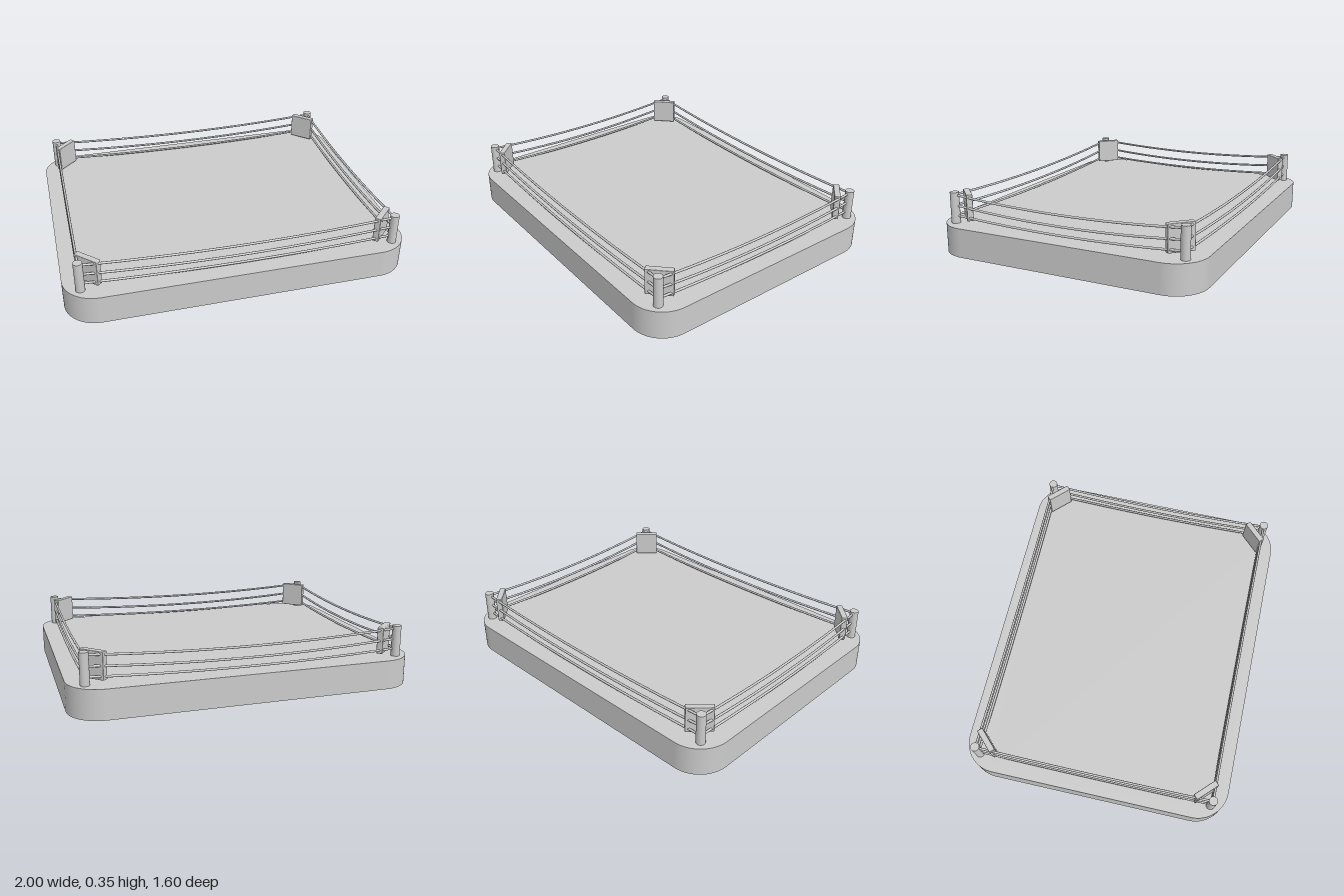
import * as THREE from 'three';
import { RoundedBoxGeometry } from 'three/addons/geometries/RoundedBoxGeometry.js';

const grey = new THREE.MeshStandardMaterial({ color: 0xcccccc });
const thin = new THREE.MeshStandardMaterial({ color: 0xcccccc, side: THREE.DoubleSide });

const DECK = 0.17;                 // height of the platform
const POST_X = 0.905, POST_Z = 0.707;

function add(parent, name, geometry, material = grey) {
  const mesh = new THREE.Mesh(geometry, material);
  mesh.name = name;
  parent.add(mesh);
  return mesh;
}

// Rounded rectangle, counter-clockwise, starting in the middle of the front edge
function platformOutline(hx, hz, r) {
  const s = new THREE.Shape();
  s.moveTo(0, -hz);
  s.lineTo(hx - r, -hz);
  s.absarc(hx - r, -hz + r, r, -Math.PI / 2, 0);
  s.absarc(hx - r, hz - r, r, 0, Math.PI / 2);
  s.absarc(-hx + r, hz - r, r, Math.PI / 2, Math.PI);
  s.absarc(-hx + r, -hz + r, r, Math.PI, Math.PI * 1.5);
  s.lineTo(0, -hz);
  return s;
}

// Vertical skirt that follows the outline, open below
function skirtGeometry(outline, height) {
  const pts = outline.getPoints(12);
  const geo = new THREE.PlaneGeometry(1, 1, pts.length - 1, 1);
  const pos = geo.attributes.position;
  for (let i = 0; i < pos.count; i++) {
    const p = pts[i % pts.length];
    pos.setXYZ(i, p.x, i < pts.length ? height : 0, -p.y);
  }
  geo.computeVertexNormals();
  return geo;
}

// Rope sagging between two posts
function ropeGeometry(a, b, endY, midY) {
  const pts = [];
  for (let i = 0; i <= 8; i++) {
    const u = i / 4 - 1;
    const p = a.clone().lerp(b, i / 8);
    p.y = midY + (endY - midY) * u * u;
    pts.push(p);
  }
  return new THREE.TubeGeometry(new THREE.CatmullRomCurve3(pts), 24, 0.007, 8);
}

export function createModel() {
  const model = new THREE.Group();
  model.name = 'ropedRing';

  // Hollow platform: floor and skirt
  const platform = new THREE.Group();
  platform.name = 'platform';
  model.add(platform);
  const outline = platformOutline(1, 0.8, 0.19);
  const floor = add(platform, 'floor', new THREE.ShapeGeometry(outline, 12), thin);
  floor.rotation.x = -Math.PI / 2;
  floor.position.y = DECK;
  add(platform, 'skirt', skirtGeometry(outline, DECK), thin);

  // Corner posts, reaching below the floor, each with a diagonal pad
  const postGeo = new THREE.CylinderGeometry(0.026, 0.026, 0.25, 24);
  const padGeo = new RoundedBoxGeometry(0.152, 0.155, 0.036, 2, 0.004);
  for (const sx of [-1, 1]) {
    for (const sz of [-1, 1]) {
      const corner = new THREE.Group();
      corner.name = (sz > 0 ? 'front' : 'back') + (sx > 0 ? 'Left' : 'Right') + 'Corner';
      model.add(corner);
      add(corner, 'post', postGeo).position.set(sx * POST_X, 0.225, sz * POST_Z);
      const pad = add(corner, 'cornerPad', padGeo);
      pad.position.set(sx * 0.851, 0.266, sz * 0.657);
      pad.rotation.y = sx * sz * Math.PI / 4;
    }
  }

  // Three ropes on each side
  const corners = [[-1, 1], [1, 1], [1, -1], [-1, -1]]
    .map(([x, z]) => new THREE.Vector3(x * POST_X, 0, z * POST_Z));
  const levels = [[0.333, 0.302], [0.272, 0.238], [0.213, 0.188]];
  ['front', 'left', 'back', 'right'].forEach((side, i) => {
    const ropes = new THREE.Group();
    ropes.name = side + 'Ropes';
    model.add(ropes);
    for (const [endY, midY] of levels) {
      add(ropes, 'rope', ropeGeometry(corners[i], corners[(i + 1) % 4], endY, midY));
    }
  });

  return model;
}
